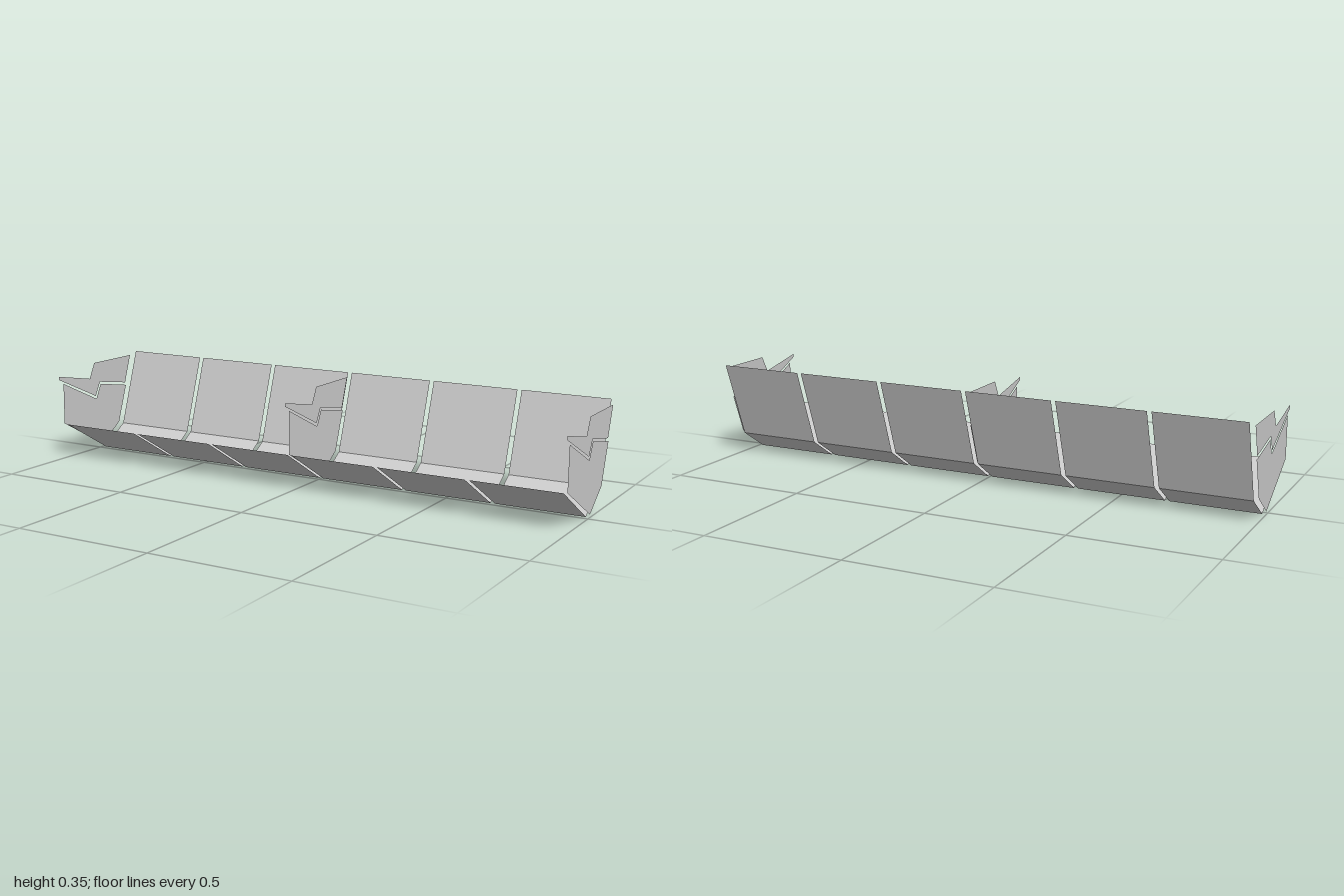
import * as THREE from 'three';

const grey = new THREE.MeshStandardMaterial({ color: 0xcccccc, side: THREE.DoubleSide });
grey.name = 'light grey';

// Profiles as [z, y]
const shell = [[0.2, 0.13], [-0.019, 0], [-0.131, 0.075], [-0.226, 0.353]];
const lowerPlate = [
  [0.2, 0.285], [0.203, 0.133], [-0.018, 0.01], [-0.122, 0.081],
  [-0.172, 0.222], [-0.016, 0.251], [0.0125, 0.196],
];
const upperPlate = [
  [0.225, 0.316], [0.225, 0.304], [0.016, 0.208], [-0.012, 0.26],
  [-0.167, 0.233], [-0.204, 0.339], [0.018, 0.339], [0.048, 0.281],
];

// Thin sheet swept along x, one flat quad per profile segment
function sheet(profile, width) {
  const pos = [];
  const h = width / 2;
  for (let i = 0; i < profile.length - 1; i++) {
    const [z0, y0] = profile[i];
    const [z1, y1] = profile[i + 1];
    const a = [-h, y0, z0], b = [h, y0, z0], c = [h, y1, z1], d = [-h, y1, z1];
    pos.push(...a, ...b, ...c, ...a, ...c, ...d);
  }
  const g = new THREE.BufferGeometry();
  g.setAttribute('position', new THREE.Float32BufferAttribute(pos, 3));
  g.computeVertexNormals();
  return g;
}

// Flat plate standing across the run, facing +x
function plate(profile) {
  const shape = new THREE.Shape(profile.map(([z, y]) => new THREE.Vector2(-z, y)));
  return new THREE.ShapeGeometry(shape).rotateY(Math.PI / 2);
}

export function createModel() {
  const model = new THREE.Group();
  model.name = 'segmentedTrough';
  const add = (name, geometry, x) => {
    const mesh = new THREE.Mesh(geometry, grey);
    mesh.name = name;
    mesh.position.x = x;
    model.add(mesh);
  };

  // Six bent shell panels with narrow gaps
  const panel = sheet(shell, 0.316);
  for (let i = 0; i < 6; i++) add('shellPanel' + (i + 1), panel, (i - 2.5) * 0.3315);

  // Two-piece cross plates at both ends and the middle
  const lower = plate(lowerPlate);
  const upper = plate(upperPlate);
  [['right', -1], ['middle', 0], ['left', 1]].forEach(([side, x]) => {
    add(side + 'LowerPlate', lower, x);
    add(side + 'UpperPlate', upper, x);
  });
  return model;
}
